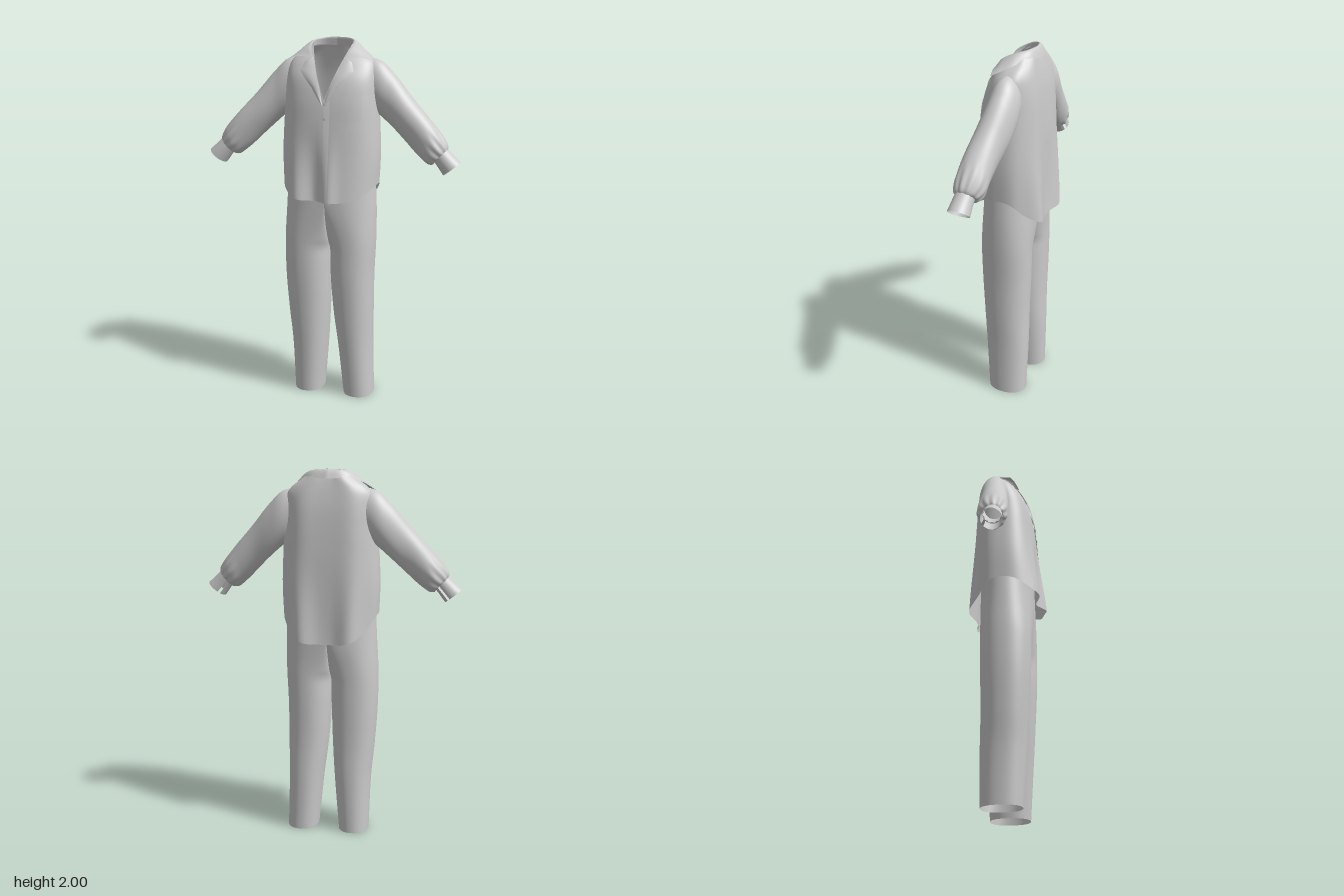
import * as THREE from 'three';
import { mergeGeometries, mergeVertices } from 'three/addons/utils/BufferGeometryUtils.js';

const { lerp, clamp, smoothstep } = THREE.MathUtils;
const cloth = new THREE.MeshStandardMaterial({ color: 0xcccccc, side: THREE.DoubleSide });
const spow = (v, p) => Math.sign(v) * Math.abs(v) ** p;
const bump = (x, centre, width) => Math.exp(-(((x - centre) / width) ** 2));

// Smooth interpolation of table rows keyed by their first column
function sample(rows, t) {
  let i = 0;
  while (i < rows.length - 2 && t > rows[i + 1][0]) i++;
  const at = (j) => rows[clamp(j, 0, rows.length - 1)];
  const [p, a, b, n] = [at(i - 1), at(i), at(i + 1), at(i + 2)];
  const h = b[0] - a[0], s = clamp((t - a[0]) / h, 0, 1);
  return a.slice(1).map((v, k) => {
    const c = k + 1;
    const m0 = (b[c] - p[c]) / (b[0] - p[0]) * h, m1 = (n[c] - a[c]) / (n[0] - a[0]) * h;
    const s2 = s * s, s3 = s2 * s;
    return (2 * s3 - 3 * s2 + 1) * v + (s3 - 2 * s2 + s) * m0 + (3 * s2 - 2 * s3) * b[c] + (s3 - s2) * m1;
  });
}

// Surface from a function of (u, v) that returns a point
function surface(fn, nu, nv) {
  const pos = [], idx = [];
  for (let j = 0; j <= nv; j++) for (let i = 0; i <= nu; i++) pos.push(...fn(i / nu, j / nv));
  for (let j = 0; j < nv; j++) for (let i = 0; i < nu; i++) {
    const a = j * (nu + 1) + i, d = a + nu + 1;
    idx.push(a, a + 1, d, a + 1, d + 1, d);
  }
  const g = new THREE.BufferGeometry();
  g.setAttribute('position', new THREE.Float32BufferAttribute(pos, 3));
  g.setIndex(idx);
  return g;
}
const mirror = (fn) => (u, v) => { const [x, y, z] = fn(1 - u, v); return [-x, y, z]; };

function part(name, ...geos) {
  const g = mergeVertices(mergeGeometries(geos), 1e-5);
  g.computeVertexNormals();
  const mesh = new THREE.Mesh(g, cloth);
  mesh.name = name;
  return mesh;
}
const pair = (name, fn, nu, nv) => part(name, surface(fn, nu, nv), surface(mirror(fn), nu, nv));

// Shirt body sections: y, half width, front z, back z
const BODY = [
  [1.08, .25, .188, -.206], [1.2, .256, .18, -.2], [1.4, .264, .163, -.19], [1.6, .256, .148, -.182],
  [1.7, .25, .136, -.177], [1.8, .245, .11, -.168], [1.87, .232, .068, -.156], [1.91, .2, .036, -.147],
  [1.95, .145, .005, -.136], [1.98, .11, -.01, -.124]];
const NECK = 1.972, V_BOTTOM = 1.69, V_SLOPE = .38, BOXY = .77;

function bodyPoint(a, y) {
  const [w, zf, zb] = sample(BODY, y), c = Math.cos(a);
  const x = w * spow(Math.sin(a), BOXY);
  // Soft folds that deepen towards the hem
  const loose = 1 - smoothstep(y, 1.1, 1.6);
  const fold = c < 0
    ? .022 * Math.cos(6 * a) * c * c * (.25 + .75 * loose)
    : loose * c * (.022 * bump(x, .035, .04) - .03 * bump(x, -.05, .05) + .025 * bump(x, -.16, .05));
  return [x, y, (zf + zb) / 2 + (zf - zb) / 2 * spow(c, BOXY) + fold];
}

// Height where the meridian meets the open neckline
function neckHeight(a) {
  if (Math.cos(a) <= 0) return NECK;
  let lo = 1.5, hi = NECK;
  for (let i = 0; i < 24; i++) {
    const y = (lo + hi) / 2;
    if (Math.abs(bodyPoint(a, y)[0]) < (y - V_BOTTOM) * V_SLOPE) hi = y; else lo = y;
  }
  return hi;
}
function shirtBody(u, v) {
  const a = (u * 2 - 1) * Math.PI, s = Math.abs(Math.sin(a));
  const hem = Math.cos(a) > 0 ? 1.155 + .08 * s ** 3 : 1.085 + .15 * s ** 3;
  return bodyPoint(a, lerp(hem, neckHeight(a), 1 - (1 - v) ** 1.5));
}

// Point lying just in front of the shirt front at (x, y)
function onFront(x, y, lift) {
  const w = sample(BODY, y)[0];
  const a = Math.asin(clamp(spow(x / w, 1 / BOXY), -1, 1));
  return [x, y, bodyPoint(a, y)[2] + lift];
}

// Sleeve sections: station, top x, top y, underside x, underside y, centre z, half depth
const SLEEVE = [
  [0, .13, 1.9, .2, 1.64, -.05, .062], [.14, .245, 1.89, .25, 1.605, -.05, .08],
  [.3, .325, 1.823, .315, 1.55, -.045, .08], [.5, .43, 1.705, .4, 1.475, -.027, .078],
  [.7, .525, 1.605, .475, 1.405, -.014, .08], [.86, .595, 1.52, .527, 1.365, -.008, .079],
  [.95, .63, 1.465, .558, 1.362, -.003, .062], [1, .632, 1.442, .568, 1.378, 0, .048]];
const CUFF = [
  [0, .63, 1.447, .564, 1.375, 0, .05], [.5, .664, 1.415, .587, 1.345, .003, .053],
  [1, .704, 1.38, .614, 1.308, .005, .057]];
function tubePoint(rows, t, a, ripple) {
  const [tx, ty, bx, by, zc, hz] = sample(rows, t);
  const c = Math.cos(a) / 2 * (1 + ripple), s = Math.sin(a) * (1 + ripple);
  return [(tx + bx) / 2 + (tx - bx) * c, (ty + by) / 2 + (ty - by) * c, zc + hz * s];
}
function sleeve(u, v) {
  const a = u * Math.PI * 2;
  const gathers = .05 * Math.sin(11 * a) * smoothstep(v, .72, .95) + .025 * Math.sin(3 * a + 7 * v) * Math.sin(Math.PI * v);
  return tubePoint(SLEEVE, v, a, gathers);
}
// Cuff band left open along the back underside
const cuff = (u, v) => tubePoint(CUFF, v, lerp(-1.95, 4.05, u), 0);

// Collar: stand base, fold line and outer edge, from centre back to the front tip
const curve = (pts, tension = .5) =>
  new THREE.CatmullRomCurve3(pts.map((p) => new THREE.Vector3(p[0], p[1], p[2] ?? 0)), false, 'catmullrom', tension);
const STAND = curve([[0, 1.955, -.125], [.075, 1.958, -.104], [.11, 1.955, -.05], [.104, 1.93, .015], [.083, 1.895, .055]]);
const FOLD = curve([[0, 2, -.115], [.068, 1.997, -.097], [.108, 1.985, -.048], [.106, 1.948, .025], [.085, 1.9, .066]]);
const EDGE = curve([[0, 1.95, -.146], [.095, 1.953, -.125], [.165, 1.937, -.065], [.205, 1.912, -.01], [.228, 1.89, .036]]);
function collar(u, v) {
  const t = 1 - u;
  const [p, q, k] = v < .4 ? [STAND, FOLD, v / .4] : [FOLD, EDGE, (v - .4) / .6];
  const r = p.getPoint(t).lerp(q.getPoint(t), k);
  if (v > .4) r.y += .012 * Math.sin(Math.PI * k);
  return [u === 1 ? 0 : r.x, r.y, r.z];
}

// Lapels turned back along the V opening
const ROLL = curve([[.004, 1.665], [.025, 1.755], [.056, 1.835], [.083, 1.905]], 0);
const LAPEL = curve([[.01, 1.665], [.07, 1.755], [.145, 1.835], [.128, 1.882]], 0);
function lapel(u, v) {
  const p = ROLL.getPoint(v).lerp(LAPEL.getPoint(v), u);
  return onFront(p.x, p.y, .005 + .005 * Math.sin(Math.PI * u));
}
// Buttoned edge overlapping the other front, and a patch pocket on the left chest
const placket = (u, v) => onFront(lerp(.004, .034, u), lerp(1.157, 1.69, v), .005 * (1 - u) + .001);
const pocket = (u, v) =>
  onFront(lerp(.08, .195, u), lerp(1.59 - .012 * Math.sin(Math.PI * u), 1.735, v), .001 + .003 * v);

// Trouser sections: y, inner x, outer x, front z, back z
const LEFT_LEG = [
  [0, .075, .245, .085, -.13], [.3, .045, .238, .105, -.135], [.5, .02, .24, .118, -.133], [.72, .004, .242, .13, -.137],
  [.93, 0, .25, .133, -.141], [1.1, 0, .25, .135, -.15], [1.25, 0, .243, .134, -.155], [1.4, 0, .235, .134, -.16],
  [1.55, 0, .23, .134, -.16]];
const RIGHT_X = [[.05, .215], [.025, .225], [.012, .243], [.004, .257], [0, .258]];
const RIGHT_LEG = LEFT_LEG.map((r, i) => (RIGHT_X[i] ? [r[0], ...RIGHT_X[i], r[3], r[4]] : r));
const CROTCH = .88, WAIST = 1.55;
// Below the crotch each side is a closed tube; above it the inner half opens into the hips
const leg = (rows) => (u, v) => {
  const y = .004 + v * (WAIST - .004), a = (u * 2 - 1) * Math.PI;
  const [xi0, xo, zf, zb] = sample(rows, y);
  const above = y > CROTCH, xi = above ? 0 : Math.max(xi0, .002);
  const open = above ? Math.sin(Math.min((y - CROTCH) / .3, 1) * Math.PI / 2) ** .6 : 0;
  const cx = lerp((xi + xo) / 2, .02, smoothstep(y, CROTCH, 1.28));
  const c = spow(Math.cos(a), .9), end = u === 0 || u === 1;
  let s = end ? 0 : Math.abs(Math.sin(a)) ** .9;
  if (c < 0) s = lerp(s, 1, open);
  const side = u < .5 ? 1 : -1;
  const x = end ? xi : cx + c * (c < 0 ? cx - xi : xo - cx);
  return [x, y, (zf + zb) / 2 + side * s * (zf - zb) / 2];
};

export function createModel() {
  const model = new THREE.Group();
  const shirt = new THREE.Group();
  shirt.name = 'shirt';
  shirt.add(
    part('shirtBody', surface(shirtBody, 120, 56)),
    pair('sleeves', sleeve, 66, 44),
    pair('cuffs', cuff, 40, 6),
    pair('collar', collar, 32, 10),
    pair('lapels', lapel, 10, 24),
    part('buttonPlacket', surface(placket, 4, 30)),
    part('chestPocket', surface(pocket, 10, 12)));
  // Two visible buttons below the opening
  for (const y of [1.67, 1.595]) {
    const button = new THREE.Mesh(new THREE.CylinderGeometry(.008, .008, .005, 16), cloth);
    button.name = 'button';
    button.rotation.x = Math.PI / 2;
    button.position.set(...onFront(.008, y, .007));
    shirt.add(button);
  }
  const trousers = part('trousers', surface(leg(LEFT_LEG), 64, 60), surface(mirror(leg(RIGHT_LEG)), 64, 60));
  model.add(shirt, trousers);
  return model;
}
